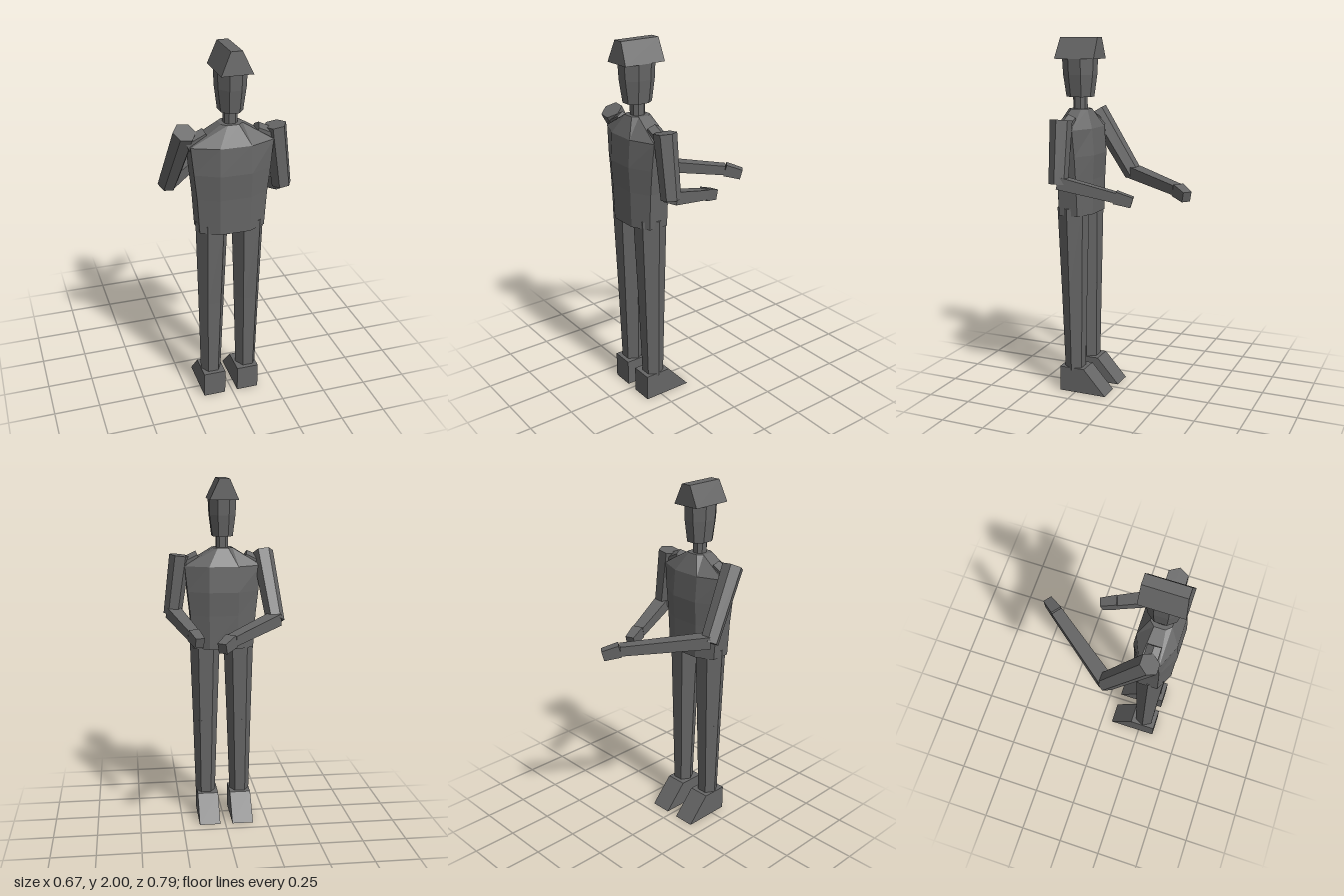
import * as THREE from 'three';

const V = (x, y, z) => new THREE.Vector3(x, y, z);
const UP = V(0, 1, 0), BACK = V(0, 0, 1);

// Horizontal cross-sections, listed counter-clockwise seen from above
const octagon = (y, w, d, a, b, cx = -0.004, cz = 0.27) =>
  [[a, d], [w, b], [w, -b], [a, -d], [-a, -d], [-w, -b], [-w, b], [-a, d]]
    .map(([x, z]) => V(cx + x, y, cz + z));
const rectangle = (y, x0, x1, z0, z1) =>
  [V(x0, y, z1), V(x1, y, z1), V(x1, y, z0), V(x0, y, z0)];

// Flat-faced closed solid through rings ordered from bottom to top
function loft(rings) {
  const pts = [];
  const n = rings[0].length;
  for (let r = 0; r + 1 < rings.length; r++) {
    for (let i = 0; i < n; i++) {
      const j = (i + 1) % n, lo = rings[r], hi = rings[r + 1];
      pts.push(lo[i], lo[j], hi[j], lo[i], hi[j], hi[i]);
    }
  }
  const top = rings[rings.length - 1], bottom = rings[0];
  for (let i = 1; i + 1 < n; i++) {
    pts.push(top[0], top[i], top[i + 1], bottom[0], bottom[i + 1], bottom[i]);
  }
  const geometry = new THREE.BufferGeometry().setFromPoints(pts);
  geometry.computeVertexNormals();
  return geometry;
}

// Tapered prism between two points; a flat side faces the ref direction
function prism(from, to, r0, r1, sides, ref, depth = 1) {
  const dir = to.clone().sub(from);
  const length = dir.length();
  dir.normalize();
  const x = dir.clone().cross(ref).normalize();
  const z = x.clone().cross(dir);
  const start = sides === 4 ? Math.PI / 4 : Math.PI / 2;
  return new THREE.CylinderGeometry(r1, r0, length, sides, 1, false, start)
    .scale(1, 1, depth)
    .applyMatrix4(new THREE.Matrix4().makeBasis(x, dir, z)
      .setPosition(from.clone().lerp(to, 0.5)));
}

export function createModel() {
  const group = new THREE.Group();
  const grey = new THREE.MeshStandardMaterial({ color: 0x666666 });
  grey.name = 'grey';
  grey.flatShading = true;
  const add = (name, geometry) => {
    const mesh = new THREE.Mesh(geometry, grey);
    mesh.name = name;
    group.add(mesh);
  };

  // Hat, head, neck and torso
  add('hat', loft([
    rectangle(1.885, -0.087, 0.077, 0.153, 0.388),
    rectangle(2.0, -0.036, 0.022, 0.153, 0.376),
  ]));
  add('head', loft([
    octagon(1.68, 0.058, 0.072, 0.027, 0.032),
    octagon(1.8, 0.073, 0.089, 0.031, 0.036),
    octagon(1.89, 0.077, 0.094, 0.031, 0.037),
  ]));
  add('neck', loft([
    octagon(1.59, 0.034, 0.036, 0.017, 0.017),
    octagon(1.7, 0.034, 0.036, 0.017, 0.017),
  ]));
  add('torso', loft([
    octagon(1.04, 0.175, 0.105, 0.08, 0.055),
    octagon(1.235, 0.188, 0.11, 0.083, 0.055),
    octagon(1.37, 0.203, 0.118, 0.084, 0.055),
    octagon(1.515, 0.218, 0.107, 0.083, 0.05),
    octagon(1.615, 0.056, 0.056, 0.03, 0.03),
  ]));

  // Legs and wedge feet
  for (const [side, hip, ankle, x0, x1] of [
    ['right', -0.1, -0.106, -0.165, -0.042],
    ['left', 0.097, 0.1, 0.03, 0.152],
  ]) {
    const knee = V((hip + ankle) / 2, 0.6, 0.271);
    add(side + 'Thigh', prism(V(hip, 1.08, 0.273), knee, 0.088, 0.072, 6, BACK));
    add(side + 'Shin', prism(knee, V(ankle, 0.13, 0.27), 0.072, 0.058, 6, BACK));
    add(side + 'Foot', loft([
      rectangle(0, x0, x1, 0.066, 0.344),
      rectangle(0.145, x0, x1, 0.196, 0.344),
    ]));
  }

  // Shoulders, bent arms and hands
  for (const [side, s, shoulder, elbow, wrist, tip] of [
    ['right', -1, V(-0.24, 1.585, 0.278), V(-0.282, 1.22, 0.065),
      V(0.01, 1.2, -0.306), V(0.067, 1.175, -0.378)],
    ['left', 1, V(0.237, 1.572, 0.27), V(0.283, 1.235, 0.27),
      V(0.186, 1.17, -0.016), V(0.158, 1.143, -0.104)],
  ]) {
    add(side + 'Shoulder',
      prism(V(s * 0.13, 1.558, 0.27), V(s * 0.23, 1.51, 0.27), 0.042, 0.042, 6, BACK));
    add(side + 'UpperArm', prism(shoulder, elbow, 0.06, 0.052, 6, BACK));
    const start = elbow.clone().add(V(0, 0.012, 0));
    add(side + 'Forearm', prism(start, wrist, 0.056, 0.044, 4, UP, 0.85));
    add(side + 'Hand', prism(wrist, tip, 0.043, 0.036, 4, UP, 1.1));
  }
  return group;
}
